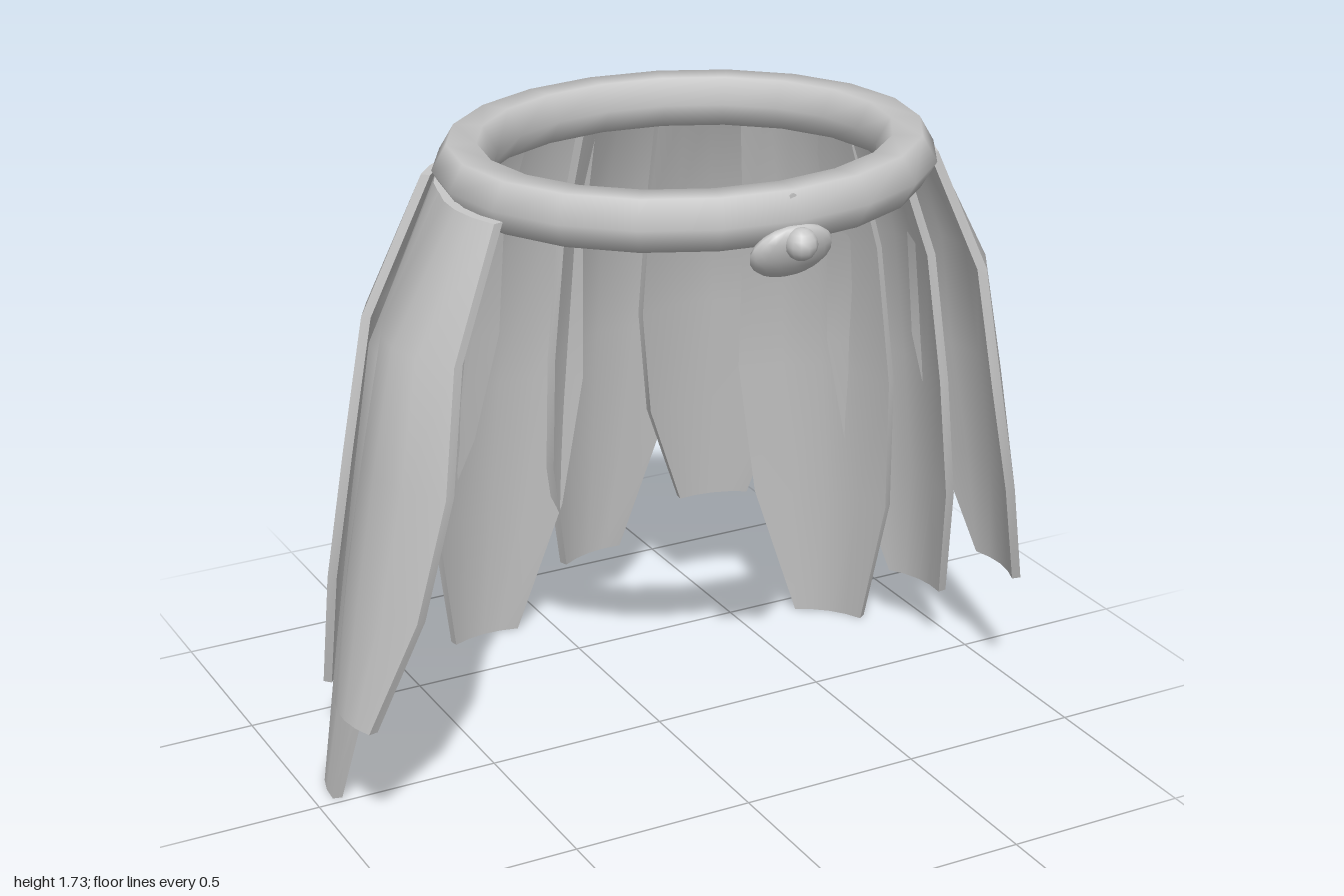
import * as THREE from 'three';
import { toCreasedNormals } from 'three/addons/utils/BufferGeometryUtils.js';

const TOP = 1.64;
const THICK = 0.025;
const DEG = Math.PI / 180;
// outward distance, half width and sag of the side edges from top to tip
const STATIONS = [
  { r: 0.655, w: 0.15, sag: 0.03 },
  { r: 0.83, w: 0.2, sag: 0.07 },
  { r: 0.89, w: 0.23, sag: 0.085 },
  { r: 0.945, w: 0.205, sag: 0.065 },
  { r: 0.995, w: 0.105, sag: 0.02 },
];
const COLUMNS = [-1, -0.5, 0, 0.5, 1];
const LENGTHS = [0.35, 0.18, 0];
// angle round the waist and twist of each leaf, in degrees
const LEAVES = [
  [0, -3], [20, -6], [38, 5], [60, 17], [82, 22],
  [102, -8], [121, -2], [141, -17], [160, 0], [180, 3],
];

// Curved leaf with thickness, bulging towards +z, hanging from TOP to the given height
function leafGeometry(bottom, twist) {
  const pos = [], idx = [];
  const n = COLUMNS.length * 2;
  const c = Math.cos(twist), s = Math.sin(twist);
  STATIONS.forEach(({ r, w, sag }, i) => {
    const y = TOP + (bottom - TOP) * i / (STATIONS.length - 1);
    const point = (x, z) => pos.push(x * c + z * s, y, r - x * s + z * c);
    COLUMNS.forEach(u => point(u * w, -sag * u * u));
    [...COLUMNS].reverse().forEach(u => point(u * w * 0.97, -sag * u * u - THICK));
  });
  for (let i = 0; i < STATIONS.length - 1; i++) {
    for (let j = 0; j < n; j++) {
      const a = i * n + j, b = i * n + (j + 1) % n;
      idx.push(a, a + n, b, b, a + n, b + n);
    }
  }
  // top and tip caps
  const last = (STATIONS.length - 1) * n;
  for (let k = 0; k < COLUMNS.length - 1; k++) {
    const a = k, b = k + 1, d = n - 2 - k, e = n - 1 - k;
    idx.push(a, b, d, a, d, e);
    idx.push(last + a, last + d, last + b, last + a, last + e, last + d);
  }
  const g = new THREE.BufferGeometry();
  g.setAttribute('position', new THREE.Float32BufferAttribute(pos, 3));
  g.setIndex(idx);
  return toCreasedNormals(g, 0.9);
}

// Oval ring of even thickness: a torus pulled in along its local y
function ringGeometry() {
  const g = new THREE.TorusGeometry(0.57, 0.075, 6, 20);
  const p = g.attributes.position;
  for (let i = 0; i < p.count; i++) {
    const x = p.getX(i), y = p.getY(i);
    p.setY(i, y - 0.07 * y / Math.hypot(x, y));
  }
  return g;
}

export function createModel() {
  const model = new THREE.Group();
  const grey = new THREE.MeshStandardMaterial({ color: 0xc8c8c8 });
  grey.name = 'light grey';

  function add(name, geometry, parent = model) {
    const mesh = new THREE.Mesh(geometry, grey);
    mesh.name = name;
    parent.add(mesh);
    return mesh;
  }

  // waist ring
  const ring = add('waistRing', ringGeometry());
  ring.rotation.x = -Math.PI / 2;
  ring.position.set(0, 1.665, 0.145);

  // ten overlapping leaves round the sides and back, in three repeating lengths
  const leaves = new THREE.Group();
  leaves.name = 'skirtLeaves';
  leaves.position.z = 0.2;
  leaves.scale.z = 0.96;
  model.add(leaves);
  LEAVES.forEach(([angle, twist], i) => {
    const leaf = add('leaf' + (i + 1), leafGeometry(LENGTHS[i % 3], twist * DEG), leaves);
    leaf.rotation.y = (90 + angle) * DEG;
  });

  // front clasp: tilted oval plate, bead and small pin
  const plate = add('claspPlate', new THREE.SphereGeometry(1, 16, 10));
  plate.scale.set(0.11, 0.078, 0.035);
  plate.rotation.x = 0.45;
  plate.position.set(-0.01, 1.582, 0.683);

  const bead = add('claspBead', new THREE.SphereGeometry(0.04, 12, 8));
  bead.position.set(-0.01, 1.612, 0.73);

  const pin = add('claspPin', new THREE.ConeGeometry(0.01, 0.07, 6));
  pin.rotation.x = -Math.PI / 2;
  pin.position.set(-0.01, 1.715, 0.655);

  return model;
}
